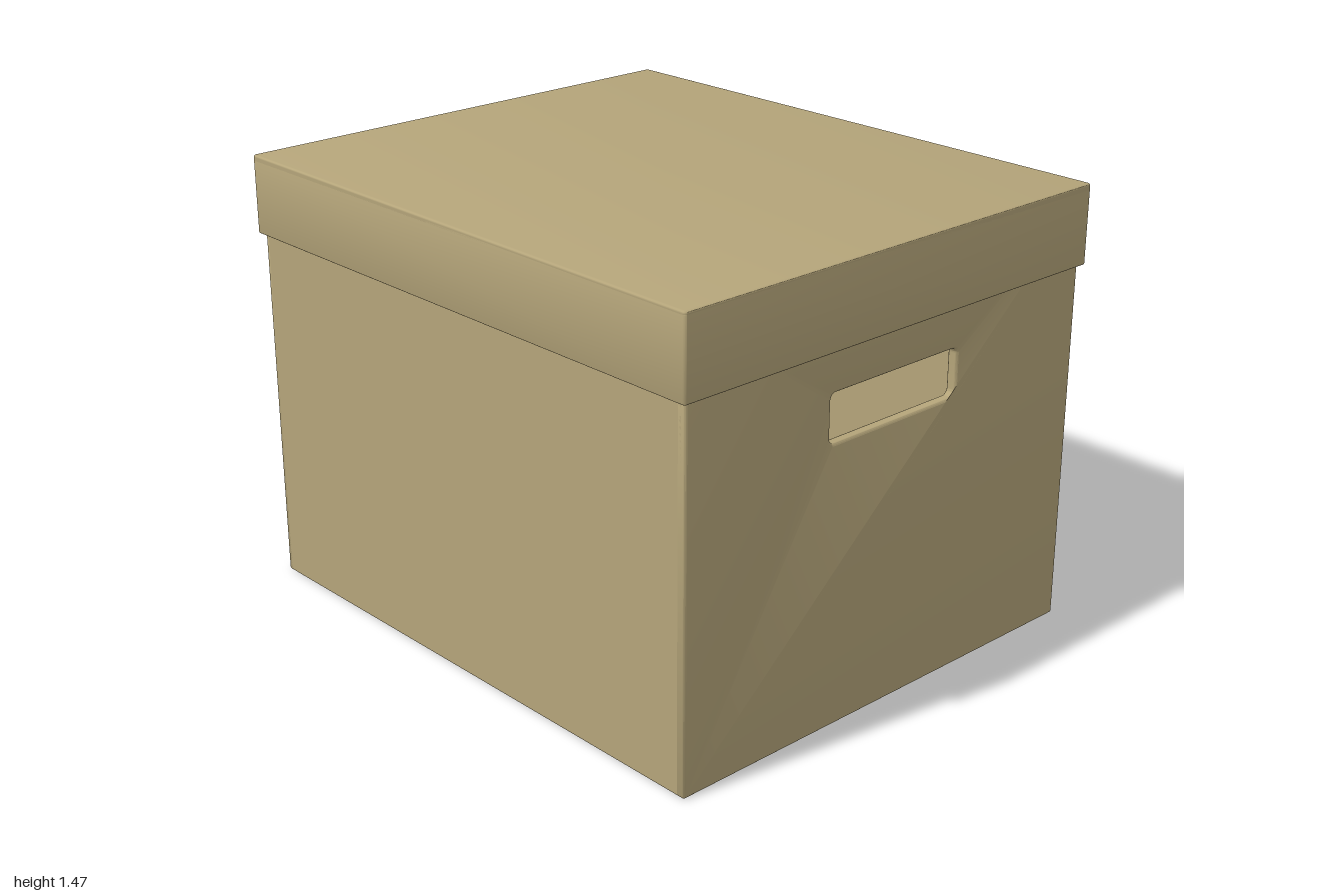
import * as THREE from 'three';
import { RoundedBoxGeometry } from 'three/addons/geometries/RoundedBoxGeometry.js';
import { toCreasedNormals } from 'three/addons/utils/BufferGeometryUtils.js';

const BODY = { x: 0.83, z: 0.984, top: 1.43 };
const LID = { x: 0.848, z: 1, bottom: 1.205, top: 1.465 };
const WALL = 0.036;
const EDGE = 0.008; // softened cardboard edge

// Rounded rectangle centred on (0, cy)
function roundedRect(target, w, h, r, cy = 0) {
  const x = w / 2, y = h / 2;
  target.absarc(x - r, cy + y - r, r, 0, Math.PI / 2);
  target.absarc(-x + r, cy + y - r, r, Math.PI / 2, Math.PI);
  target.absarc(-x + r, cy - y + r, r, Math.PI, Math.PI * 1.5);
  target.absarc(x - r, cy - y + r, r, Math.PI * 1.5, Math.PI * 2);
  target.closePath();
  return target;
}

// Board of the given total thickness with softened edges, centred on z = 0
function board(shape, thickness, bevel = EDGE) {
  const geo = new THREE.ExtrudeGeometry(shape, {
    depth: thickness - 2 * bevel, curveSegments: 6, bevelEnabled: bevel > 0,
    bevelThickness: bevel, bevelSize: bevel, bevelOffset: -bevel, bevelSegments: 3,
  });
  geo.translate(0, 0, bevel - thickness / 2);
  return toCreasedNormals(geo, 0.7);
}

export function createModel() {
  const cardboard = new THREE.MeshStandardMaterial({ color: 0xb5a57a });
  const model = new THREE.Group();
  model.name = 'storageBox';
  const body = new THREE.Group();
  body.name = 'body';
  const lid = new THREE.Group();
  lid.name = 'lid';
  model.add(body, lid);

  const add = (parent, name, geo, x, y, z) => {
    const mesh = new THREE.Mesh(geo, cardboard);
    mesh.name = name;
    mesh.position.set(x, y, z);
    parent.add(mesh);
    return mesh;
  };

  // End walls with a hand hole
  const end = roundedRect(new THREE.Shape(), BODY.x * 2, BODY.top, 0.008, BODY.top / 2);
  end.holes.push(roundedRect(new THREE.Path(), 0.54, 0.155, 0.02, 0.997));
  const endGeo = board(end, WALL);
  add(body, 'frontWall', endGeo, 0, 0, BODY.z - WALL / 2);
  add(body, 'backWall', endGeo, 0, 0, -BODY.z + WALL / 2);

  // Side walls, tucked into the end walls
  const sideGeo = new RoundedBoxGeometry(WALL, BODY.top, 2 * (BODY.z - EDGE), 3, EDGE);
  for (const [name, s] of [['leftWall', 1], ['rightWall', -1]]) {
    add(body, name, sideGeo, s * (BODY.x - WALL / 2), BODY.top / 2, 0);
  }

  // Floor
  add(body, 'floor', new THREE.BoxGeometry(2 * (BODY.x - EDGE), WALL, 2 * (BODY.z - EDGE)), 0, WALL / 2, 0);

  // Lid skirt: a thin band around the top of the body
  const band = roundedRect(new THREE.Shape(), LID.x * 2, LID.z * 2, 0.008);
  band.holes.push(roundedRect(new THREE.Path(), BODY.x * 2 + 0.004, BODY.z * 2 + 0.004, 0.008));
  const skirtHeight = LID.top - EDGE - LID.bottom;
  const skirt = add(lid, 'lidSkirt', board(band, skirtHeight, 0.003), 0, LID.bottom + skirtHeight / 2, 0);
  skirt.rotation.x = -Math.PI / 2;

  // Lid top panel
  const panel = roundedRect(new THREE.Shape(), LID.x * 2, LID.z * 2, 0.0085);
  const top = add(lid, 'lidTop', board(panel, 0.03), 0, LID.top - 0.015, 0);
  top.rotation.x = -Math.PI / 2;

  return model;
}
